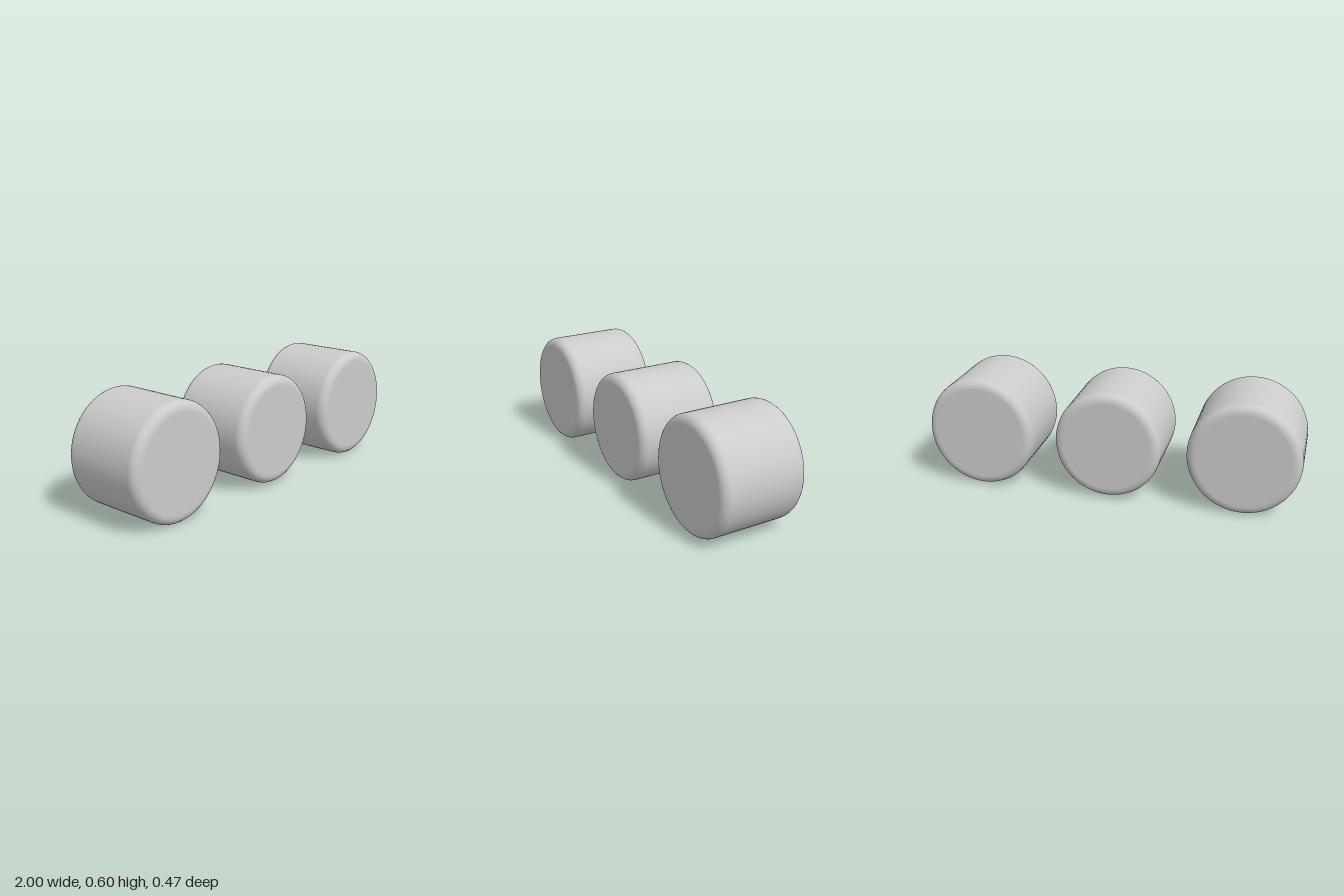
import * as THREE from 'three';

const HALF_DEPTH = 0.236;
const FILLET = 0.046;

// Slightly oval drum with rounded rims, its axis along z
function drumGeometry(rx, ry) {
  const inner = ry - FILLET;
  const flat = HALF_DEPTH - FILLET;
  const half = [];
  // Rim arc from the straight wall to the flat end face
  for (let i = 0; i <= 6; i++) {
    const a = (i / 6) * Math.PI / 2;
    half.push(new THREE.Vector2(inner + FILLET * Math.cos(a), flat + FILLET * Math.sin(a)));
  }
  // Extra ring keeps the end face shading flat
  half.push(new THREE.Vector2(inner - 0.004, HALF_DEPTH), new THREE.Vector2(0, HALF_DEPTH));
  const back = half.map((p) => new THREE.Vector2(p.x, -p.y)).reverse();
  const geometry = new THREE.LatheGeometry([...back, ...half], 64);
  geometry.rotateX(Math.PI / 2);
  geometry.scale(rx / ry, 1, 1);
  return geometry;
}

export function createModel() {
  const group = new THREE.Group();
  group.name = 'roundedDrums';
  const material = new THREE.MeshStandardMaterial({ color: 0xcccccc });

  const addDrum = (name, geometry, x) => {
    const mesh = new THREE.Mesh(geometry, material);
    mesh.name = name;
    mesh.position.set(x, 0.302, 0);
    group.add(mesh);
  };

  // Two matching outer drums and a smaller one between them
  const outer = drumGeometry(0.294, 0.302);
  addDrum('leftDrum', outer, 0.706);
  addDrum('rightDrum', outer, -0.706);
  addDrum('middleDrum', drumGeometry(0.284, 0.291), 0.004);

  return group;
}
